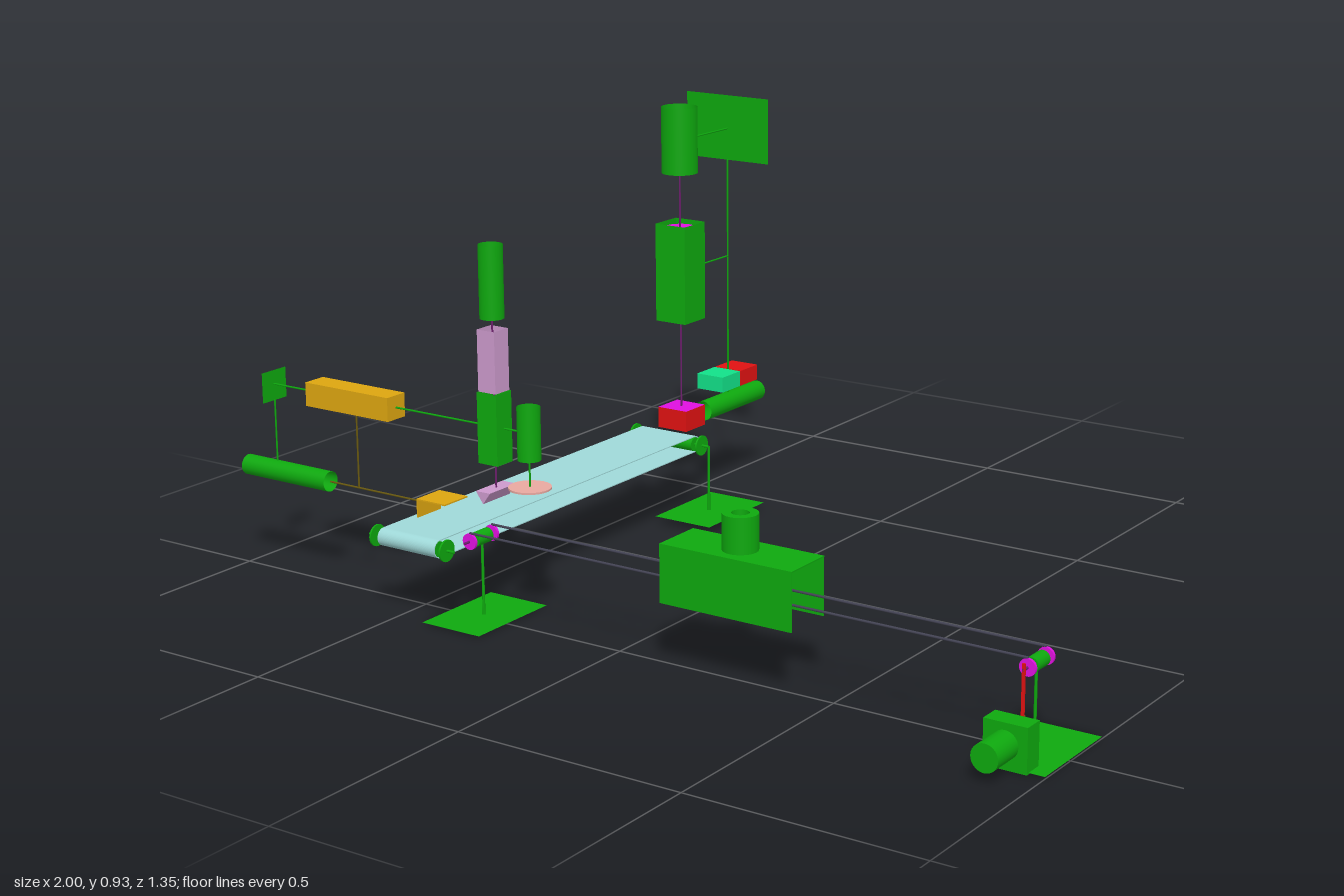
import * as THREE from 'three';

const colors = {
  green: 0x0ea80e, red: 0xe01212, magenta: 0xe010e0, teal: 0x12e088, orange: 0xdca510,
  mauve: 0xcc99cc, pink: 0xe8a8a0, belt: 0x9fd8d8, tan: 0xc89850, dark: 0x444455, purple: 0x702070, olive: 0x6a5a10,
};

export function createModel() {
  const root = new THREE.Group();
  const mats = {};
  const mat = (c) => (mats[c] ??= new THREE.MeshStandardMaterial({ color: colors[c], side: THREE.DoubleSide }));

  const add = (name, geo, c, x = 0, y = 0, z = 0) => {
    const m = new THREE.Mesh(geo, Array.isArray(c) ? c.map(mat) : mat(c));
    m.name = name;
    m.position.set(x, y, z);
    root.add(m);
    return m;
  };
  // box given by its extents
  const box = (name, c, [x0, x1], [y0, y1], [z0, z1]) =>
    add(name, new THREE.BoxGeometry(x1 - x0, y1 - y0, z1 - z0), c, (x0 + x1) / 2, (y0 + y1) / 2, (z0 + z1) / 2);
  // cylinder between two points
  const bar = (name, c, a, b, r, open = false, sides = 28) => {
    const p = new THREE.Vector3(...a), q = new THREE.Vector3(...b);
    const d = q.clone().sub(p);
    const m = add(name, new THREE.CylinderGeometry(r, r, d.length(), sides, 1, open), c);
    m.position.copy(p).add(q).multiplyScalar(0.5);
    m.quaternion.setFromUnitVectors(new THREE.Vector3(0, 1, 0), d.normalize());
    return m;
  };
  const tube = (name, c, a, b, r) => bar(name, c, a, b, r, true);
  const rod = (name, c, a, b, r = 0.002) => bar(name, c, a, b, r, false, 6);
  // flat sheet lying in the x-z plane
  const sheet = (name, c, w, d, x, y, z) => {
    const g = new THREE.PlaneGeometry(w, d).rotateX(-Math.PI / 2);
    return add(name, g, c, x, y, z);
  };
  // open square sleeve, axis vertical
  const sleeve = (name, c, x, z, w, y0, y1) => {
    const g = new THREE.CylinderGeometry(w / Math.SQRT2, w / Math.SQRT2, y1 - y0, 4, 1, true).rotateY(Math.PI / 4);
    const flat = g.toNonIndexed();
    flat.computeVertexNormals();
    return add(name, flat, c, x, (y0 + y1) / 2, z);
  };

  // wide belt: a thin loop round two rollers
  const loop = (Kind, r) => {
    const s = new Kind();
    s.absarc(0.595 - 0.005, 0.168, r, -Math.PI / 2, Math.PI / 2, false);
    s.absarc(-0.308, 0.168, r, Math.PI / 2, Math.PI * 1.5, false);
    s.closePath();
    return s;
  };
  const outline = loop(THREE.Shape, 0.019);
  outline.holes.push(loop(THREE.Path, 0.017));
  const beltGeo = new THREE.ExtrudeGeometry(outline, { depth: 0.15, bevelEnabled: false, curveSegments: 12 });
  add('wideBelt', beltGeo.rotateY(-Math.PI / 2), 'belt', -0.38);
  for (const z of [0.592, -0.308]) {
    rod('rollerShaft', 'green', [-0.565, 0.168, z], [-0.342, 0.168, z], 0.003);
    bar('roller', 'green', [-0.53, 0.168, z], [-0.38, 0.168, z], 0.016);
    for (const x of [-0.545, -0.362]) bar('rollerFlange', 'green', [x - 0.002, 0.168, z], [x + 0.002, 0.168, z], 0.023);
  }

  // narrow conveyor: two cords over end pulleys
  for (const z of [0.45, 0.52]) rod('conveyorCord', 'dark', [-0.36, 0.186, z], [0.92, 0.186, z], 0.0025);
  for (const x of [-0.36, 0.92]) {
    bar('conveyorRoller', 'green', [x, 0.168, 0.463], [x, 0.168, 0.508], 0.015);
    rod('conveyorShaft', 'purple', [x, 0.168, 0.445], [x, 0.168, 0.538], 0.003);
    for (const z of [0.45, 0.52]) bar('conveyorPulley', 'magenta', [x, 0.168, z - 0.003], [x, 0.168, z + 0.003], 0.017);
  }

  // base plates and posts
  for (const [x, y, z, px, pz] of [[-0.342, 0.018, -0.312, -0.342, -0.308], [-0.355, 0.003, 0.485, -0.355, 0.488], [0.925, 0.003, 0.485, 0.92, 0.488]]) {
    sheet('basePlate', 'green', 0.148, 0.222, x, y, z);
    rod('basePost', 'green', [px, y, pz], [px, 0.168, pz], 0.003);
  }

  // drive motor
  box('motorGearbox', 'green', [0.876, 0.966], [0, 0.09], [0.558, 0.602]);
  bar('motor', 'green', [0.92, 0.048, 0.602], [0.92, 0.048, 0.676], 0.028);
  rod('motorShaft', 'olive', [0.92, 0.078, 0.56], [0.92, 0.078, 0.53], 0.003);
  box('driveBelt', 'red', [0.917, 0.923], [0.062, 0.18], [0.534, 0.538]);

  // inspection tunnel with open ends and a camera on its roof
  for (const z of [0.431, 0.543]) box('tunnelWall', 'green', [0.13, 0.433], [0.14, 0.26], [z - 0.001, z + 0.001]);
  box('tunnelRoof', 'green', [0.13, 0.433], [0.258, 0.261], [0.43, 0.544]);
  tube('cameraBody', 'green', [0.28, 0.261, 0.487], [0.28, 0.335, 0.487], 0.036);
  tube('cameraLens', 'green', [0.28, 0.261, 0.487], [0.28, 0.335, 0.487], 0.018);
  const rim = new THREE.RingGeometry(0.018, 0.036, 28).rotateX(-Math.PI / 2);
  add('cameraRim', rim, 'green', 0.28, 0.335, 0.487);

  // tall feeder tower
  const fx = -0.455, fz = -0.362;
  tube('feederTube', 'green', [fx, 0.78, fz], [fx, 0.93, fz], 0.041);
  sleeve('feederHopper', 'green', fx, fz, 0.08, 0.44, 0.665);
  add('feederGate', new THREE.CircleGeometry(0.036, 28).rotateX(-Math.PI / 2), 'magenta', fx, 0.655, fz);
  rod('feederLine', 'purple', [fx, 0.235, fz], [fx, 0.78, fz]);
  add('signPlate', new THREE.PlaneGeometry(0.224, 0.15), 'green', fx, 0.855, -0.553);
  rod('signPost', 'green', [fx, 0.22, -0.553], [fx, 0.78, -0.553]);
  for (const y of [0.853, 0.553]) rod('towerArm', 'green', [fx, y, -0.4], [fx, y, -0.553]);

  // rear pusher
  box('rearPusher', ['red', 'tan', 'magenta', 'tan', 'red', 'tan'], [-0.494, -0.416], [0.187, 0.235], [-0.4, -0.325]);
  rod('rearPistonRod', 'olive', [fx, 0.202, -0.4], [fx, 0.202, -0.45]);
  tube('rearPiston', 'green', [fx, 0.202, -0.45], [fx, 0.202, -0.676], 0.023);
  box('tealValve', 'teal', [-0.491, -0.419], [0.245, 0.281], [-0.55, -0.478]);
  box('redValve', 'red', [-0.491, -0.419], [0.245, 0.281], [-0.623, -0.553]);

  // side pusher
  const pz = 0.487;
  tube('sidePiston', 'green', [-1, 0.218, pz], [-0.765, 0.218, pz], 0.022);
  rod('sidePistonRod', 'olive', [-0.765, 0.218, pz], [-0.495, 0.218, pz]);
  box('sidePusherTop', 'orange', [-0.496, -0.422], [0.233, 0.236], [0.45, 0.523]);
  box('sidePusherFace', 'orange', [-0.497, -0.494], [0.196, 0.236], [0.45, 0.523]);
  box('sideValve', 'orange', [-0.8, -0.575], [0.385, 0.436], [0.46, 0.514]);
  rod('valveLine', 'olive', [-0.685, 0.218, pz], [-0.685, 0.385, pz]);
  rod('crossLine', 'green', [-0.915, 0.41, pz], [-0.25, 0.41, pz]);
  add('sensorPlate', new THREE.PlaneGeometry(0.072, 0.066).rotateY(Math.PI / 2), 'green', -0.915, 0.407, pz);
  rod('sensorPost', 'green', [-0.915, 0.235, pz], [-0.915, 0.375, pz]);

  // stamping press with a wedge tip
  const sx = -0.315;
  tube('pressPiston', 'green', [sx, 0.635, pz], [sx, 0.785, pz], 0.025);
  sleeve('pressSleeve', 'mauve', sx, pz, 0.044, 0.485, 0.613);
  sleeve('pressGuide', 'green', sx, pz, 0.049, 0.336, 0.484);
  rod('pressRod', 'purple', [sx, 0.282, pz], [sx, 0.635, pz]);
  const tip = new THREE.Shape([[-0.018, 0], [0, -0.025], [0.018, 0]].map((p) => new THREE.Vector2(...p)));
  add('pressTip', new THREE.ExtrudeGeometry(tip, { depth: 0.085, bevelEnabled: false }), 'mauve', sx, 0.283, 0.445);

  // suction head
  tube('suctionPiston', 'green', [-0.228, 0.355, pz], [-0.228, 0.465, pz], 0.024);
  rod('suctionRod', 'green', [-0.228, 0.298, pz], [-0.228, 0.41, pz]);
  bar('suctionDisc', 'pink', [-0.228, 0.295, pz], [-0.228, 0.299, pz], 0.044);

  return root;
}
